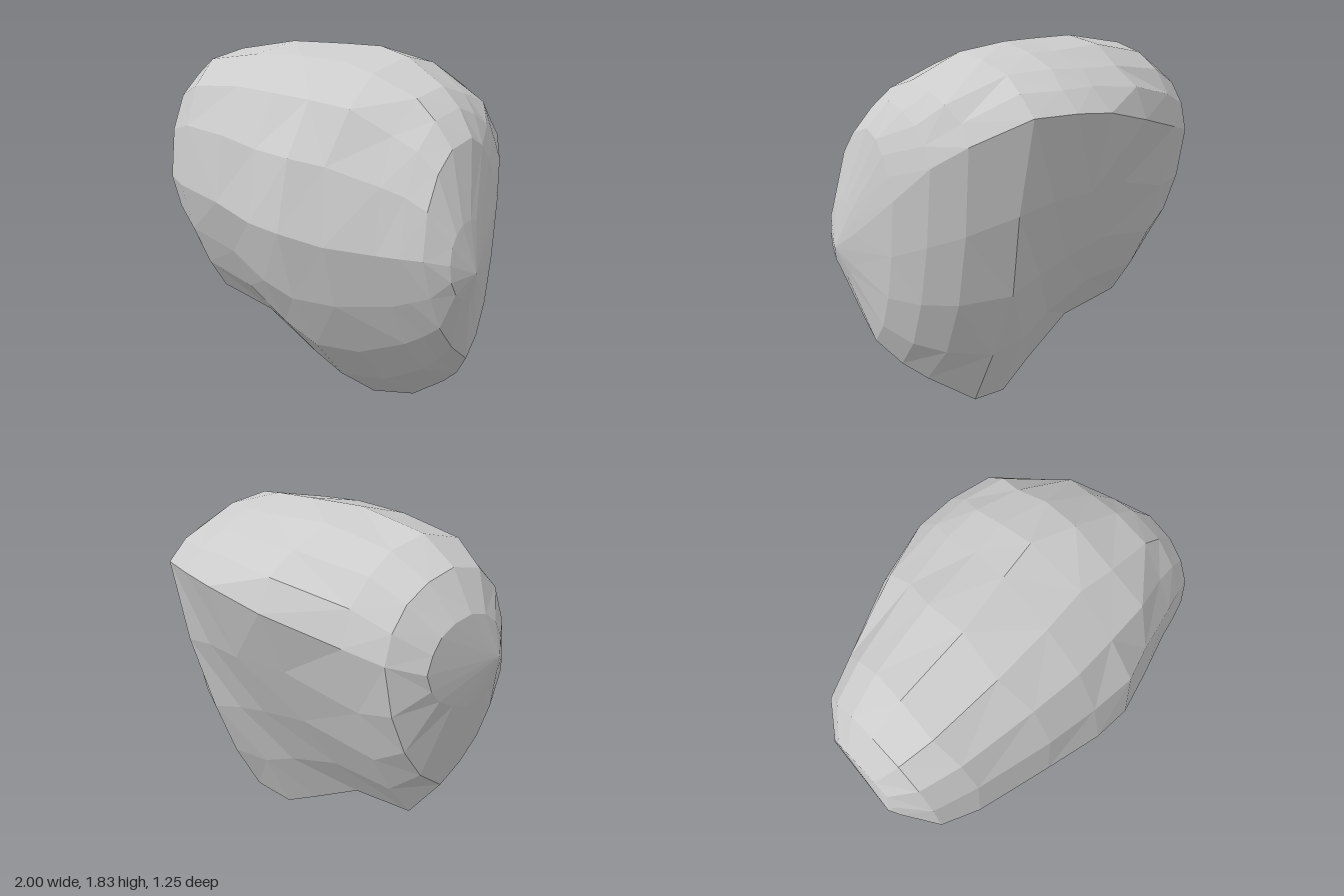
import * as THREE from 'three';

// Cross-sections across the boulder: x, then [y, z] of the underside, front bulge, crown and
// back ridge, then the fullness of the lower front, upper front, upper back and lower back
const SECTIONS = [
  [-0.97, [1.06, 0.10], [1.24, 0.30], [1.50, 0.08], [1.28, -0.16], [0.32, 0.45, 0.40, 0.32]],
  [-0.86, [0.60, 0.08], [1.10, 0.435], [1.68, 0.07], [1.32, -0.30], [0.26, 0.50, 0.40, 0.28]],
  [-0.68, [0.36, 0.06], [1.08, 0.505], [1.785, 0.06], [1.36, -0.385], [0.25, 0.50, 0.38, 0.19]],
  [-0.30, [0.29, 0.04], [1.05, 0.58], [1.83, 0.03], [1.44, -0.55], [0.24, 0.47, 0.32, 0.10]],
  [0.00, [0.11, 0.00], [1.00, 0.63], [1.82, -0.04], [1.50, -0.625], [0.24, 0.46, 0.23, 0.07]],
  [0.20, [0.00, -0.05], [0.98, 0.63], [1.81, -0.08], [1.51, -0.625], [0.23, 0.46, 0.20, 0.07]],
  [0.42, [0.03, -0.11], [0.94, 0.56], [1.765, -0.02], [1.50, -0.59], [0.24, 0.46, 0.25, 0.15]],
  [0.66, [0.19, -0.05], [0.93, 0.475], [1.64, 0.02], [1.38, -0.44], [0.24, 0.46, 0.28, 0.27]],
  [0.77, [0.28, 0.00], [0.93, 0.445], [1.55, 0.04], [1.28, -0.30], [0.22, 0.46, 0.30, 0.30]],
  [0.87, [0.40, 0.07], [0.93, 0.41], [1.43, 0.08], [1.12, -0.14], [0.24, 0.46, 0.30, 0.30]],
  [0.955, [0.72, 0.18], [0.91, 0.33], [1.09, 0.19], [0.94, 0.08], [0.40, 0.45, 0.40, 0.40]],
];
const ENDS = [[-1, 1.27, 0.25], [1, 0.86, 0.2]];
const STEPS = 4;

// Small repeatable irregularity in -1..1
function wobble(i, j) {
  const s = Math.sin(i * 12.99 + j * 78.23) * 43758.55;
  return (s - Math.floor(s)) * 2 - 1;
}

// One closed ring running underside, front, crown, back
function ring([x, ...rest], i) {
  const anchors = rest.slice(0, 4);
  const fullness = rest[4];
  const stagger = Math.abs(x) < 0.7 ? 0.03 : 0;
  const roughness = Math.abs(x) < 0.7 ? 0.01 : 0.004;
  const points = [];
  for (let q = 0; q < 4; q++) {
    const a = anchors[q], b = anchors[(q + 1) % 4];
    const corner = q % 2 === 0 ? [a[0], b[1]] : [b[0], a[1]];
    const control = [0, 1].map((k) => {
      const mid = (a[k] + b[k]) / 2;
      return mid + 2 * fullness[q] * (corner[k] - mid);
    });
    for (let s = 0; s < STEPS; s++) {
      const t = s / STEPS, u = 1 - t, j = q * STEPS + s;
      const [y, z] = [0, 1].map((k) => u * u * a[k] + 2 * u * t * control[k] + t * t * b[k]);
      const free = s > 0 ? 1 : 0;
      points.push(new THREE.Vector3(
        x + free * stagger * wobble(i, j),
        y + free * roughness * wobble(i + 20, j),
        z + free * roughness * wobble(i + 40, j)));
    }
  }
  return points;
}

function boulderGeometry() {
  const rings = SECTIONS.map(ring);
  const n = rings[0].length;
  const vertices = [];
  const face = (...corners) => corners.forEach((p) => vertices.push(p.x, p.y, p.z));
  const [rightEnd, leftEnd] = ENDS.map((p) => new THREE.Vector3(...p));
  const last = rings[rings.length - 1];
  for (let j = 0; j < n; j++) {
    const k = (j + 1) % n;
    // Facets between neighbouring rings, with the shorter diagonal
    for (let i = 0; i < rings.length - 1; i++) {
      const a = rings[i][j], b = rings[i + 1][j], c = rings[i + 1][k], d = rings[i][k];
      if (a.distanceTo(c) < b.distanceTo(d)) {
        face(a, b, c);
        face(a, c, d);
      } else {
        face(a, b, d);
        face(b, c, d);
      }
    }
    // Blunt ends
    face(rightEnd, rings[0][j], rings[0][k]);
    face(leftEnd, last[k], last[j]);
  }
  const geometry = new THREE.BufferGeometry();
  geometry.setAttribute('position', new THREE.Float32BufferAttribute(vertices, 3));
  geometry.computeVertexNormals();
  return geometry;
}

export function createModel() {
  const group = new THREE.Group();
  group.name = 'rock';
  const boulder = new THREE.Mesh(
    boulderGeometry(),
    new THREE.MeshStandardMaterial({ color: 0xcccccc, flatShading: true }));
  boulder.name = 'boulder';
  group.add(boulder);
  return group;
}
